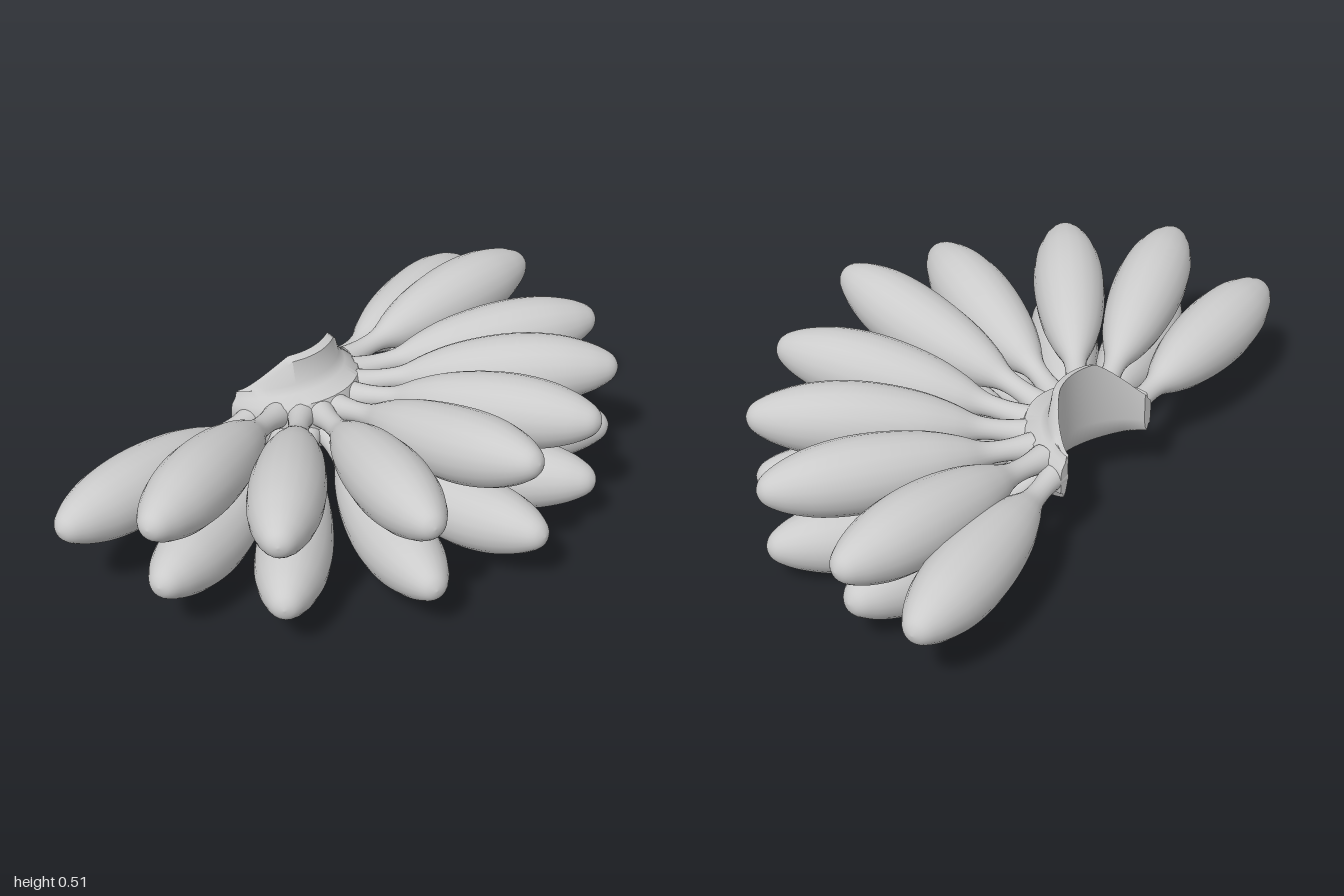
import * as THREE from 'three';
import { mergeVertices, toCreasedNormals } from 'three/addons/utils/BufferGeometryUtils.js';

const material = new THREE.MeshStandardMaterial({ color: 0xcccccc, side: THREE.DoubleSide });

// Fruit outline: position along the length, radius
const outline = new THREE.SplineCurve([
  [0, 0.042], [0.09, 0.032], [0.18, 0.036], [0.27, 0.064], [0.38, 0.09], [0.52, 0.107],
  [0.66, 0.111], [0.79, 0.1], [0.89, 0.077], [0.95, 0.054], [0.98, 0.036], [0.994, 0.018], [1, 0],
].map(([t, r]) => new THREE.Vector2(t, r)));

// One fruit: a tube along a gently bent path, swollen by the outline
function fruitGeometry(base, tip, midY) {
  const at = (t, y) => new THREE.Vector3().lerpVectors(base, tip, t).setY(y);
  const path = new THREE.CatmullRomCurve3([
    base, at(0.2, base.y + (midY - base.y) * 0.4), at(0.6, midY), tip,
  ]);
  const rings = 48, sides = 20;
  const geo = new THREE.TubeGeometry(path, rings, 1, sides, false);
  const pos = geo.attributes.position, v = new THREE.Vector3();
  for (let i = 0; i <= rings; i++) {
    const from = path.getPointAt(i / rings);
    const p = outline.getPoint(i / rings);
    const to = path.getPointAt(THREE.MathUtils.clamp(p.x, 0, 1));
    for (let j = 0; j <= sides; j++) {
      const k = i * (sides + 1) + j;
      v.fromBufferAttribute(pos, k).sub(from).multiplyScalar(Math.max(p.y, 0)).add(to);
      pos.setXYZ(k, v.x, v.y, v.z);
    }
  }
  geo.deleteAttribute('uv');
  geo.deleteAttribute('normal');
  const smooth = mergeVertices(geo, 1e-5);
  smooth.computeVertexNormals();
  return smooth;
}

// Crown: a crescent swept through half a turn, with a raised lip, a shelf and a rounded foot
function crownGeometry() {
  const steps = 40;
  // k runs from the inner (0) to the outer (1) wall; y is the height
  const section = (s) => {
    const top = 0.335 + 0.115 * Math.min(1, 1.25 * s * s);
    const shelf = 0.315 + 0.035 * s;
    const foot = 0.2 - 0.06 * s;
    return [[0, top], [0.18, top - 0.01], [0.27, shelf + 0.02], [0.45, shelf], [0.85, shelf - 0.015],
      [1, 0.28], [0.97, 0.22], [0.8, foot + 0.02], [0.5, foot], [0.25, foot + 0.015], [0.06, 0.24]];
  };
  const points = [], index = [], n = section(0).length;
  for (let i = -1; i <= steps + 1; i++) {
    const a = Math.PI * THREE.MathUtils.clamp(i / steps, 0, 1);
    const c = Math.cos(a), s = Math.sin(a);
    const isEnd = i < 0 || i > steps;
    for (const [k, y] of section(s)) {
      const kk = isEnd ? 0.5 : k;
      // the inner wall is a narrower, more pointed arc than the outer one
      const depth = THREE.MathUtils.lerp(0.13 * s ** 1.5, 0.265 * s, kk);
      points.push(c * (0.195 + 0.035 * kk), isEnd ? 0.27 : y, -0.455 + depth);
    }
  }
  for (let i = 0; i < steps + 2; i++) {
    for (let j = 0; j < n; j++) {
      const a = i * n + j, b = i * n + (j + 1) % n;
      index.push(a, b, a + n, b, b + n, a + n);
    }
  }
  const geo = new THREE.BufferGeometry();
  geo.setAttribute('position', new THREE.Float32BufferAttribute(points, 3));
  geo.setIndex(index);
  return toCreasedNormals(geo, 0.9);
}

// Each fruit: base x, base z, tip x, tip y, tip z, height of its middle
const upperRow = [
  [0.2, -0.37, 0.995, 0.335, -0.28, 0.325],
  [0.17, -0.31, 0.855, 0.335, 0.12, 0.32],
  [0.12, -0.26, 0.625, 0.36, 0.37, 0.345],
  [0.06, -0.22, 0.31, 0.385, 0.53, 0.355],
  [-0.02, -0.21, -0.06, 0.455, 0.58, 0.38],
  [-0.08, -0.22, -0.42, 0.4, 0.5, 0.36],
  [-0.13, -0.26, -0.765, 0.41, 0.24, 0.37],
  [-0.17, -0.32, -0.945, 0.42, -0.07, 0.38],
];
const lowerRow = [
  [0.19, -0.35, 0.92, 0.17, -0.255, 0.145],
  [0.16, -0.3, 0.83, 0.13, 0.12, 0.111],
  [0.1, -0.25, 0.61, 0.15, 0.36, 0.13],
  [0.04, -0.22, 0.3, 0.18, 0.53, 0.145],
  [-0.02, -0.21, -0.045, 0.205, 0.6, 0.16],
  [-0.06, -0.22, -0.41, 0.18, 0.5, 0.155],
  [-0.11, -0.25, -0.75, 0.185, 0.24, 0.16],
  [-0.16, -0.3, -0.93, 0.22, -0.06, 0.18],
];
// Single fruits at the two ends of the hand
const endFruits = [
  [0.2, -0.415, 0.985, 0.24, -0.525, 0.24],
  [-0.2, -0.4, -1, 0.3, -0.375, 0.28],
];

export function createModel() {
  const model = new THREE.Group();
  model.name = 'fruitBunch';

  const crown = new THREE.Mesh(crownGeometry(), material);
  crown.name = 'crown';
  model.add(crown);

  const addRow = (name, rows, baseY) => {
    const group = new THREE.Group();
    group.name = name;
    rows.forEach(([bx, bz, tx, ty, tz, midY], i) => {
      const base = new THREE.Vector3(bx, baseY, bz), tip = new THREE.Vector3(tx, ty, tz);
      const fruit = new THREE.Mesh(fruitGeometry(base, tip, midY), material);
      fruit.name = `${name}Fruit${i + 1}`;
      group.add(fruit);
    });
    model.add(group);
  };
  addRow('upperRow', upperRow, 0.29);
  addRow('lowerRow', lowerRow, 0.22);
  addRow('endFruits', endFruits, 0.26);
  return model;
}
